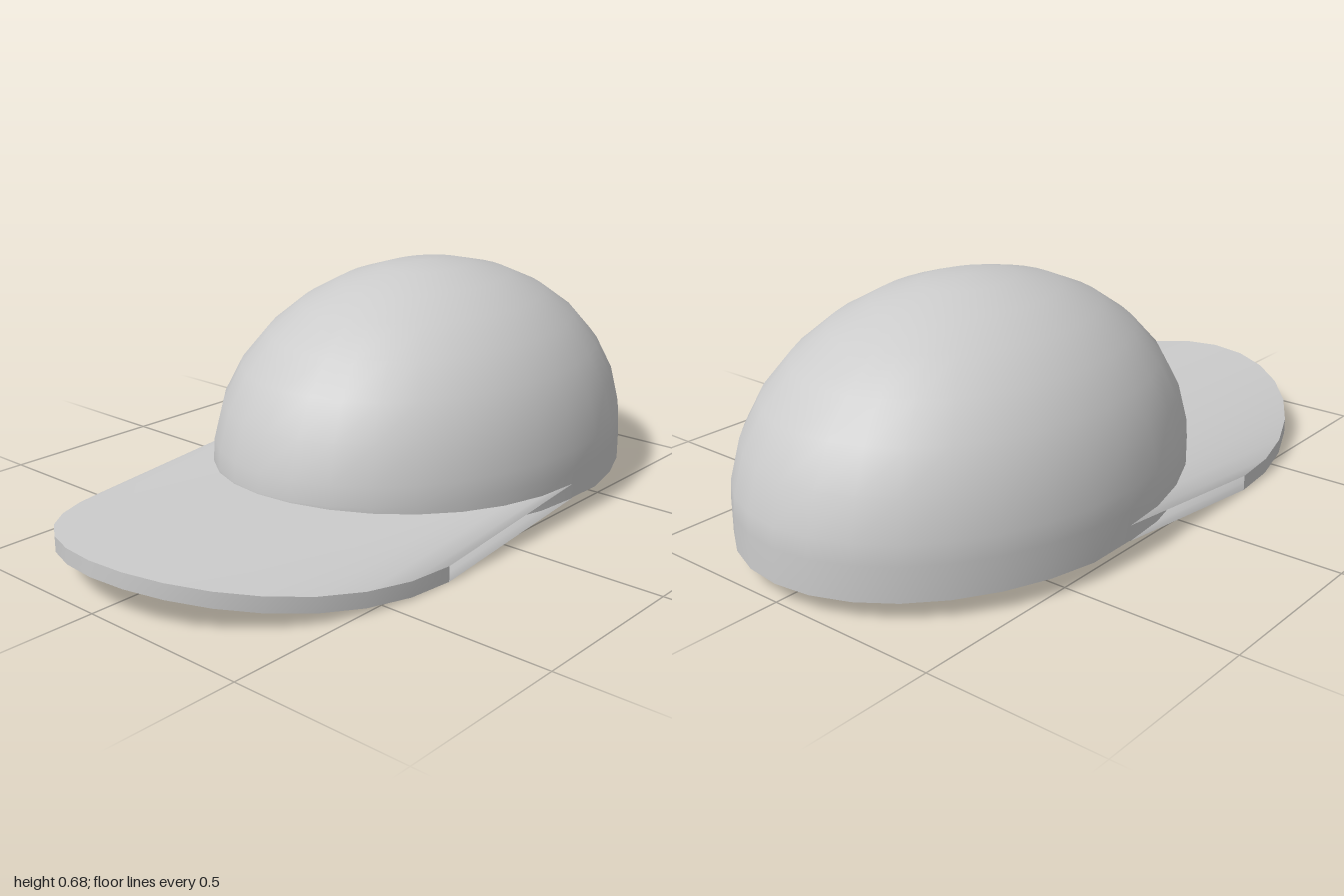
import * as THREE from 'three';
import { mergeVertices } from 'three/addons/utils/BufferGeometryUtils.js';

const RX = 0.545, RZ = 0.715; // radii of the oval head outline
const BACK = -0.285, FRONT = 0.285; // z centres of the crown and visor ovals
const TOP = 0.142, THICK = 0.044; // visor top at its middle, visor thickness

// Smooth surface from a function of u (around) and v (across), both 0..1
function surface(fn, nu, nv) {
  const pos = [], index = [];
  for (let i = 0; i <= nu; i++)
    for (let j = 0; j <= nv; j++) pos.push(...fn(i / nu, j / nv));
  for (let i = 0; i < nu; i++)
    for (let j = 0; j < nv; j++) {
      const a = i * (nv + 1) + j, b = a + nv + 1;
      index.push(a, a + 1, b, b, a + 1, b + 1);
    }
  let geo = new THREE.BufferGeometry();
  geo.setAttribute('position', new THREE.Float32BufferAttribute(pos, 3));
  geo.setIndex(index);
  geo = mergeVertices(geo, 1e-5);
  geo.computeVertexNormals();
  return geo;
}

// The visor arches more strongly at its outer edge than where it meets the crown
const visorTop = (s, sag) => TOP - sag * s * s;

export function createModel() {
  const group = new THREE.Group();
  const material = new THREE.MeshStandardMaterial({ color: 0xcccccc, side: THREE.DoubleSide });
  const add = (name, geo, parent) => {
    const mesh = new THREE.Mesh(geo, material);
    mesh.name = name;
    parent.add(mesh);
  };

  // Crown: open half ellipsoid with a short upright band down to the rim
  const rows = 9;
  const crown = (u, v) => {
    const a = u * Math.PI * 2, s = Math.sin(a), c = Math.cos(a);
    const row = Math.round(v * rows);
    const t = Math.min(row * 12, 90) * Math.PI / 180;
    let y = 0.145 + 0.53 * Math.cos(t);
    if (row === rows) y = c > 0.01 ? visorTop(s, 0.04) : c > -0.01 ? 0.06 : 0.05;
    return [RX * Math.sin(t) * s, y, BACK + RZ * Math.sin(t) * c];
  };
  add('crown', surface(crown, 32, rows), group);

  // Visor: crescent between the crown's front outline and the same outline moved forward
  const visor = new THREE.Group();
  visor.name = 'visor';
  group.add(visor);
  const corner = (a, outer, drop) => {
    const s = Math.sin(a);
    return new THREE.Vector3(RX * s, visorTop(s, 0.04 + 0.058 * outer) - drop * THICK,
      (outer ? FRONT : BACK) + RZ * Math.cos(a));
  };
  const corners = [[0, 0], [1, 0], [1, 1], [0, 1]]; // [outer, lower]
  ['visorTop', 'visorRim', 'visorUnderside', 'visorInnerEdge'].forEach((name, k) => {
    const p = corners[k], q = corners[(k + 1) % 4];
    add(name, surface((u, v) => {
      const a = (u - 0.5) * Math.PI;
      return corner(a, ...p).lerp(corner(a, ...q), v).toArray();
    }, 16, 2), visor);
  });
  return group;
}
